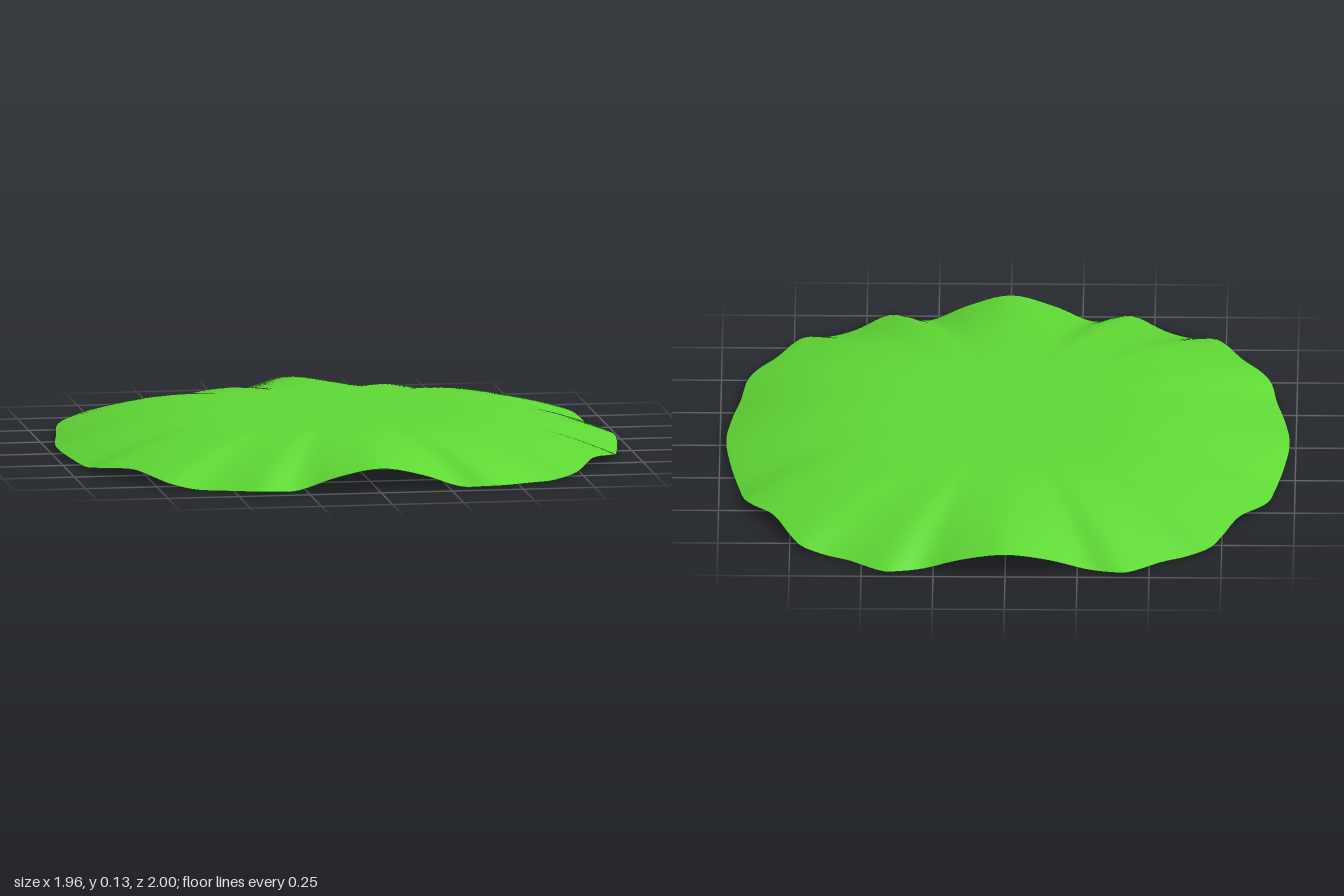
import * as THREE from 'three';

// One quarter of the wavy rim, from the side (+x) round to the front (+z): [x, y, z]
const QUARTER = [
  [0.98, 0.023, 0], [0.96, 0.017, 0.19], [0.932, 0.012, 0.34], [0.91, 0.028, 0.46],
  [0.875, 0.037, 0.525], [0.81, 0.044, 0.605], [0.752, 0.034, 0.735], [0.71, 0.023, 0.805],
  [0.63, 0.007, 0.84], [0.545, 0.008, 0.885], [0.42, 0.018, 0.988], [0.37, 0.016, 0.982],
  [0.29, 0.012, 0.955], [0.15, 0.06, 0.978], [0, 0.09, 1],
];
const TOP = 0.14;
const FLAT = 0.35; // share of the radius that stays level
const RINGS = 32;
const SEGMENTS = 224;

// Mirror the quarter into a closed rim curve
function rimCurve() {
  const half = [...QUARTER, ...QUARTER.slice(0, -1).reverse().map(([x, y, z]) => [-x, y, z])];
  const back = half.slice(1, -1).reverse().map(([x, y, z]) => [x, y, -z]);
  const points = [...half, ...back].map((p) => new THREE.Vector3(...p));
  return new THREE.CatmullRomCurve3(points, true, 'centripetal');
}

// Rings run from the level centre out to the rim, drooping ever more steeply
function leafGeometry() {
  const rim = rimCurve().getSpacedPoints(SEGMENTS).slice(0, SEGMENTS);
  const positions = [0, TOP, 0];
  const index = [];
  for (let r = 1; r <= RINGS; r++) {
    const u = r / RINGS;
    const droop = Math.max(0, (u - FLAT) / (1 - FLAT)) ** 2.1;
    for (const p of rim) positions.push(p.x * u, TOP + (p.y - TOP) * droop, p.z * u);
  }
  for (let s = 0; s < SEGMENTS; s++) {
    const n = (s + 1) % SEGMENTS;
    index.push(0, 1 + n, 1 + s);
    for (let r = 0; r < RINGS - 1; r++) {
      const a = 1 + r * SEGMENTS, b = a + SEGMENTS;
      index.push(a + s, a + n, b + s, a + n, b + n, b + s);
    }
  }
  const geometry = new THREE.BufferGeometry();
  geometry.setAttribute('position', new THREE.Float32BufferAttribute(positions, 3));
  geometry.setIndex(index);
  geometry.computeVertexNormals();
  return geometry;
}

export function createModel() {
  const group = new THREE.Group();
  group.name = 'lettuce';
  const material = new THREE.MeshStandardMaterial({ color: 0x5fd835, side: THREE.DoubleSide });
  const leaf = new THREE.Mesh(leafGeometry(), material);
  leaf.name = 'lettuceLeaf';
  // Rest the lowest fold on the ground
  leaf.geometry.computeBoundingBox();
  leaf.position.y = -leaf.geometry.boundingBox.min.y;
  group.add(leaf);
  return group;
}
